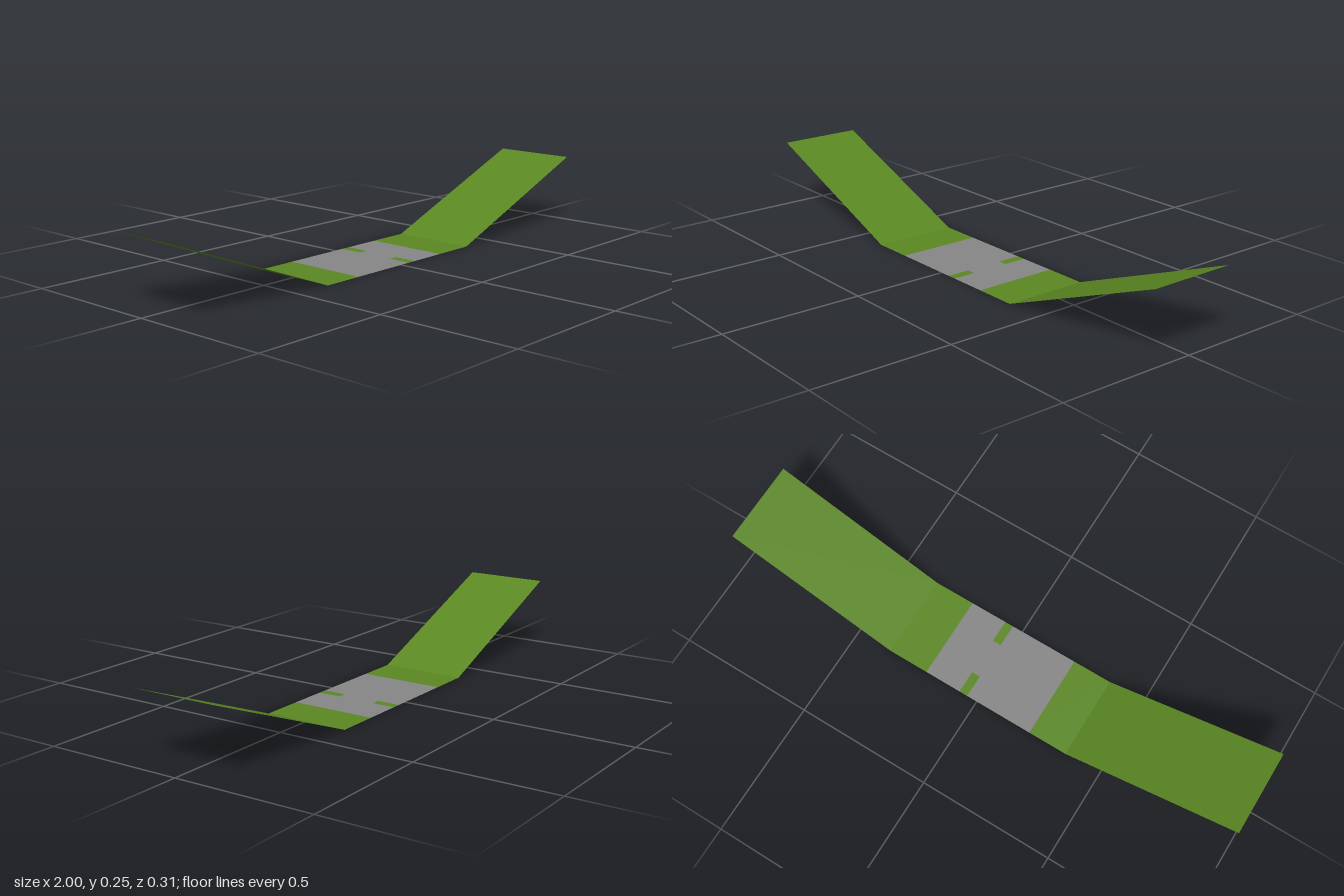
import * as THREE from 'three';

const W = 0.155;     // half width of the strip
const BEND = 0.363;  // x where the ends fold up
const RISE = 0.248;  // height of the raised tips
const GREY = [-0.217, 0.211];    // x extent of the grey band
const NOTCH = [0.04, 0.072];     // x extent of the green notches
const NOTCH_Z = 0.07;            // inner end of each notch

export function createModel() {
  const green = new THREE.MeshStandardMaterial({ color: 0x5a8722, side: THREE.DoubleSide });
  green.name = 'leaf green';
  const grey = new THREE.MeshStandardMaterial({ color: 0x868686, side: THREE.DoubleSide });
  grey.name = 'mid grey';
  const model = new THREE.Group();
  model.name = 'bentStrip';

  function add(name, geometry, material) {
    const mesh = new THREE.Mesh(geometry, material);
    mesh.name = name;
    model.add(mesh);
  }

  // Thin sheet from (x0, y0) to (x1, y1), spanning z0 to z1, facing up
  function panel(name, x0, y0, x1, y1, z0 = -W, z1 = W) {
    const g = new THREE.PlaneGeometry(Math.hypot(x1 - x0, y1 - y0), z1 - z0);
    g.rotateX(-Math.PI / 2);
    g.rotateZ(Math.atan2(y1 - y0, x1 - x0));
    g.translate((x0 + x1) / 2, (y0 + y1) / 2, (z0 + z1) / 2);
    add(name, g, green);
  }

  // Raised ends and the flat green margins beside the grey band
  panel('rightRaisedEnd', -1, RISE, -BEND, 0);
  panel('rightFlatMargin', -BEND, 0, GREY[0], 0);
  panel('leftFlatMargin', GREY[1], 0, BEND, 0);
  panel('leftRaisedEnd', BEND, 0, 1, RISE);

  // Green tabs filling the notches
  panel('backNotch', NOTCH[0], 0, NOTCH[1], 0, -W, -NOTCH_Z);
  panel('frontNotch', NOTCH[0], 0, NOTCH[1], 0, NOTCH_Z, W);

  // Grey band with a notch cut into each long edge
  const outline = [
    [GREY[0], -W], [NOTCH[0], -W], [NOTCH[0], -NOTCH_Z], [NOTCH[1], -NOTCH_Z], [NOTCH[1], -W], [GREY[1], -W],
    [GREY[1], W], [NOTCH[1], W], [NOTCH[1], NOTCH_Z], [NOTCH[0], NOTCH_Z], [NOTCH[0], W], [GREY[0], W],
  ].map(([x, y]) => new THREE.Vector2(x, y));
  add('greyBand', new THREE.ShapeGeometry(new THREE.Shape(outline)).rotateX(-Math.PI / 2), grey);

  return model;
}
